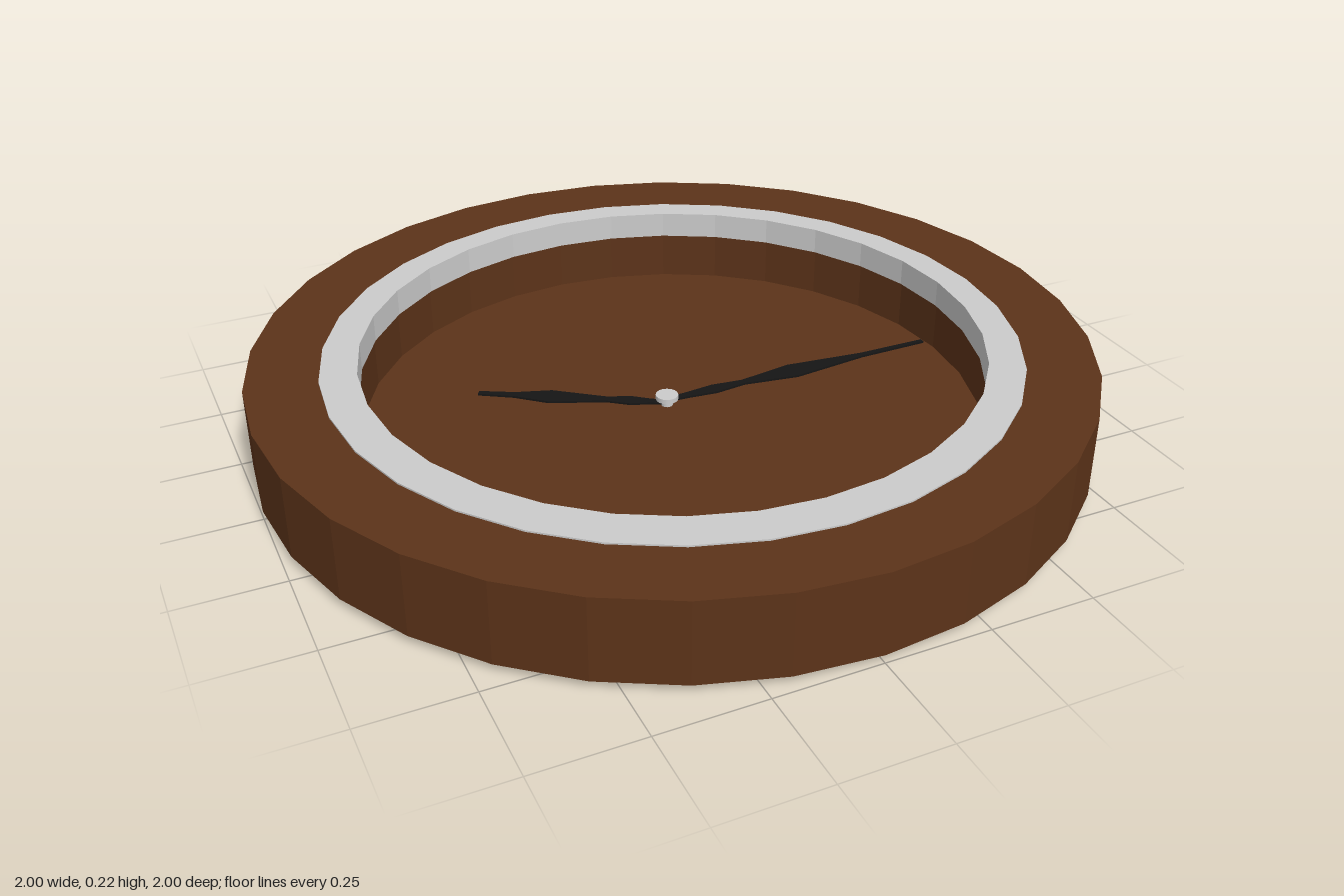
import * as THREE from 'three';

const SIDES = 32;
const OFF_X = 0.007, OFF_Z = -0.014; // the dial sits slightly off centre
const PIN_Z = -0.033;

const material = (color, flatShading = true) => new THREE.MeshStandardMaterial({ color, flatShading });

function polygon(r, cx = 0, cz = 0) {
  return Array.from({ length: SIDES }, (_, i) => {
    const a = (i / SIDES) * Math.PI * 2;
    return new THREE.Vector2(cx + r * Math.cos(a), -cz + r * Math.sin(a));
  });
}

// Extrudes a flat shape upward from y0 to y1
function slab(shape, y0, y1) {
  return new THREE.ExtrudeGeometry(shape, { depth: y1 - y0, bevelEnabled: false })
    .rotateX(-Math.PI / 2).translate(0, y0, 0);
}

// Round slab with the off-centre dial opening
function ringSlab(outer, inner, y0, y1) {
  const shape = new THREE.Shape(polygon(outer));
  shape.holes.push(new THREE.Path(polygon(inner, OFF_X, OFF_Z)));
  return slab(shape, y0, y1);
}

// Symmetric hand outline from [distance, half width] pairs
function handSlab(profile, y0, y1) {
  const lower = profile.map(([d, w]) => new THREE.Vector2(d, -w));
  const upper = profile.map(([d, w]) => new THREE.Vector2(d, w)).reverse();
  return slab(new THREE.Shape([...lower, ...upper]), y0, y1);
}

export function createModel() {
  const clock = new THREE.Group();
  clock.name = 'wallClock';
  const wood = material(0x5c3319);
  const grey = material(0xcccccc);
  const black = material(0x151515);

  const add = (name, geometry, mat) => {
    const mesh = new THREE.Mesh(geometry, mat);
    mesh.name = name;
    clock.add(mesh);
    return mesh;
  };

  // Wooden case, and the dial closing its back
  add('case', ringSlab(1, 0.75, 0.02, 0.22), wood);
  const dial = add('dial', new THREE.CylinderGeometry(0.75, 0.75, 0.015, SIDES), wood);
  dial.position.set(OFF_X, 0.0275, OFF_Z);

  // Inset bezel, standing just proud of the case
  add('bezel', ringSlab(0.83, 0.746, 0.157, 0.224), grey);

  // Hands
  const minute = add('minuteHand', handSlab([
    [0, 0.008], [0.05, 0.01], [0.13, 0.018], [0.21, 0.009],
    [0.35, 0.03], [0.55, 0.008], [0.735, 0.006],
  ], 0.045, 0.05), black);
  minute.position.z = PIN_Z;

  const hour = add('hourHand', handSlab([
    [0, 0.008], [0.04, 0.01], [0.09, 0.018], [0.15, 0.01],
    [0.29, 0.028], [0.38, 0.01], [0.47, 0.007],
  ], 0.038, 0.043), black);
  hour.position.z = PIN_Z;
  hour.rotation.y = THREE.MathUtils.degToRad(150);

  // Centre pin: rear head, thin shaft and front head
  const pin = new THREE.Group();
  pin.name = 'centrePin';
  pin.position.z = PIN_Z;
  for (const [name, r, y0, y1] of [
    ['rearHead', 0.029, 0, 0.021],
    ['shaft', 0.015, 0.018, 0.055],
    ['frontHead', 0.028, 0.051, 0.063],
  ]) {
    const part = new THREE.Mesh(new THREE.CylinderGeometry(r, r, y1 - y0, 16), material(0xcccccc, false));
    part.name = name;
    part.position.y = (y0 + y1) / 2;
    pin.add(part);
  }
  clock.add(pin);

  return clock;
}
